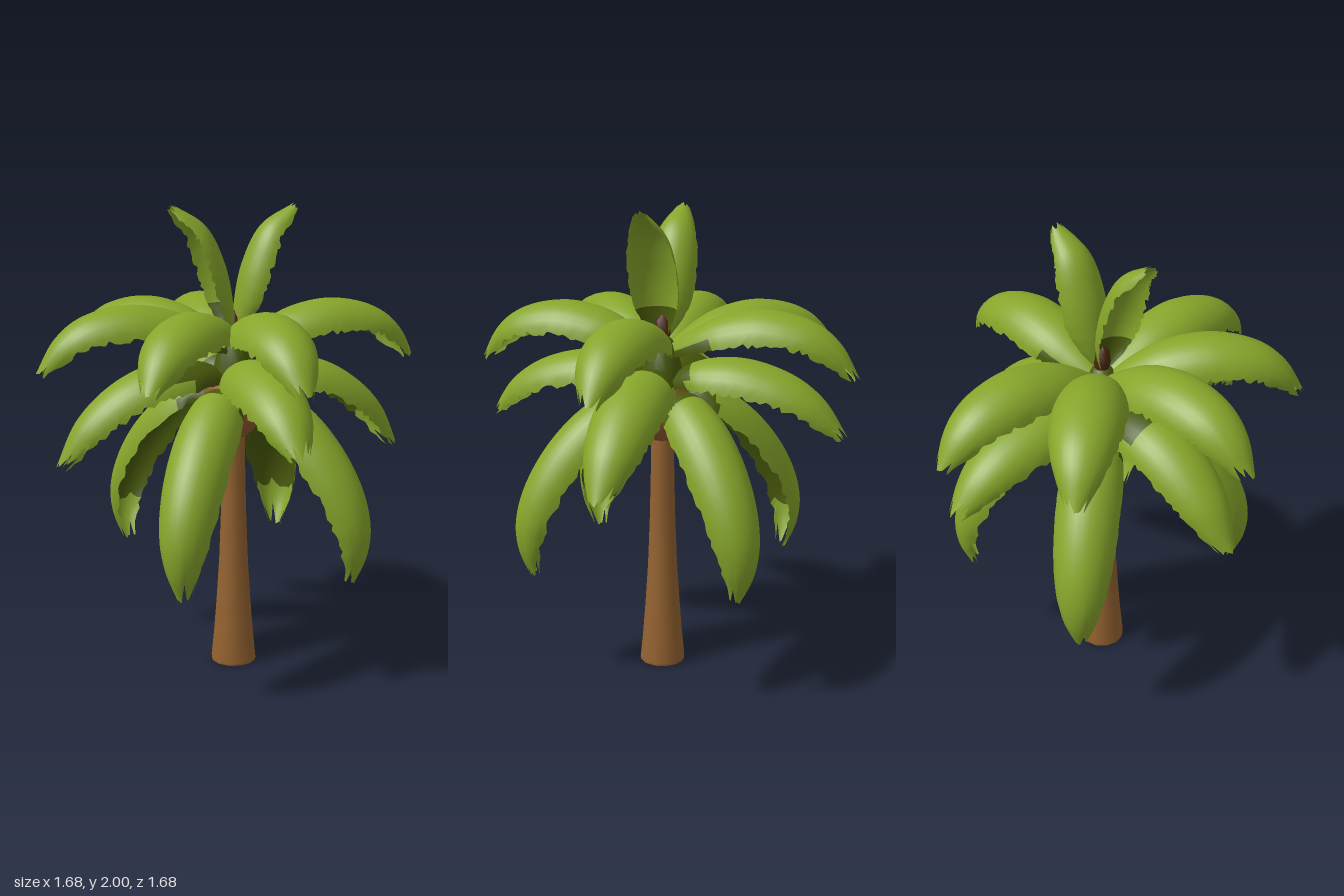
import * as THREE from 'three';

function material(name, color) {
  const m = new THREE.MeshStandardMaterial({ color });
  m.name = name;
  return m;
}
const leafGreen = material('leafGreen', 0x86a52a);
const darkOlive = material('darkOlive', 0x47580a);
const trunkBrown = material('trunkBrown', 0x946230);
const bulbBrown = material('bulbBrown', 0x945932);
const darkBrown = material('darkBrown', 0x4a240e);

// Small seeded random generator for the ragged leaf edges
function seeded(seed) {
  let s = seed;
  return () => {
    s = (s * 16807) % 2147483647;
    return s / 2147483647;
  };
}

// Half width along a leaf, as a share of the widest point
const WIDTHS = [0.24, 0.62, 0.86, 0.97, 1, 0.99, 0.95, 0.87, 0.75, 0.55, 0.22];
function widthAt(t) {
  const f = Math.min(t, 0.9999) * (WIDTHS.length - 1);
  const i = Math.floor(f);
  return THREE.MathUtils.lerp(WIDTHS[i], WIDTHS[i + 1], f - i);
}

// Arched leaf along +x with a green upper skin and a dark lower skin.
// rib: list of [radius, height]; rootDark, flankDark: radius up to which the top
// and its lower flanks are dark; underDark: dark share of the lower skin
function leafGeometry({ rib, width, depth, seed, rootDark, flankDark, underDark }) {
  const ROWS = 40, COLS = 14;
  const rand = seeded(seed);
  const curve = new THREE.CatmullRomCurve3(rib.map(([r, y]) => new THREE.Vector3(r, y, 0)));
  // Each strip of the leaf ends at its own length, giving a torn tip
  const ends = Array.from({ length: COLS + 1 }, (_, j) =>
    j === COLS / 2 ? 1 : 1 - 0.09 * rand() * (j % 2 ? 1 : 0.4));
  const tears = Array.from({ length: ROWS + 1 }, (_, i) =>
    [0, 1].map(() => 1 + (rand() - 0.6) * 0.13 * (0.4 + i / ROWS)));
  const pos = [], green = [], dark = [];
  for (const under of [false, true]) {
    const base = pos.length / 3;
    for (let i = 0; i <= ROWS; i++) {
      const s = i / ROWS;
      for (let j = 0; j <= COLS; j++) {
        const u = (j / COLS) * 2 - 1;
        const t = s * THREE.MathUtils.lerp(1, ends[j], s ** 4);
        const p = curve.getPointAt(t), d = curve.getTangentAt(t);
        const edge = j === 0 ? tears[i][0] : j === COLS ? tears[i][1] : 1;
        const a = u * edge * Math.PI * 0.48;
        const w = widthAt(t);
        const drop = depth * w * (1 - Math.cos(a)) * (under ? 0.97 : 1) + (under ? 0.004 : 0);
        pos.push(p.x + d.y * drop, p.y - d.x * drop, width * w * Math.sin(a) * (under ? 0.97 : 1));
        if (i < ROWS && j < COLS) {
          const k = base + i * (COLS + 1) + j, n = k + COLS + 1;
          const flank = Math.abs(u + 1 / COLS) > 0.7;
          const isDark = under ? s < underDark : p.x < (flank ? flankDark : rootDark);
          const list = isDark ? dark : green;
          if (under) list.push(k, n, k + 1, k + 1, n, n + 1);
          else list.push(k, k + 1, n, k + 1, n + 1, n);
        }
      }
    }
  }
  const g = new THREE.BufferGeometry();
  g.setAttribute('position', new THREE.Float32BufferAttribute(pos, 3));
  g.setIndex([...green, ...dark]);
  g.addGroup(0, green.length, 0);
  g.addGroup(green.length, dark.length, 1);
  g.computeVertexNormals();
  return g;
}

const middleSide = { width: 0.148, depth: 0.14, seed: 37, underDark: 0.82,
  rib: [[0, 1.27], [0.12, 1.34], [0.25, 1.355], [0.4, 1.33], [0.55, 1.25], [0.68, 1.12], [0.77, 0.935]] };

// Leaf tiers: rib path, size, dark areas and compass angles in degrees
const TIERS = [
  { name: 'uprightLeaf', width: 0.108, depth: 0.1, seed: 11, rootDark: 0, flankDark: 0, underDark: 0.18, angles: [0, 180],
    rib: [[0, 1.46], [0.008, 1.6], [0.045, 1.76], [0.125, 1.91], [0.27, 2]] },
  { name: 'upperLeaf', width: 0.148, depth: 0.14, seed: 23, rootDark: 0, flankDark: 0.2, underDark: 0.82,
    angles: [0, 90, 180, 270, 131, 229],
    rib: [[0, 1.4], [0.12, 1.49], [0.25, 1.56], [0.45, 1.595], [0.65, 1.55], [0.76, 1.465], [0.84, 1.33]] },
  { ...middleSide, name: 'middleLeftLeaf', rootDark: 0.21, flankDark: 0.17, angles: [0] },
  { ...middleSide, name: 'middleRightLeaf', rootDark: 0.3, flankDark: 0.2, angles: [180] },
  { name: 'middleFrontBackLeaf', width: 0.148, depth: 0.14, seed: 41, rootDark: 0.13, flankDark: 0.09, underDark: 0.82,
    angles: [90, 270],
    rib: [[0, 1.26], [0.12, 1.35], [0.25, 1.385], [0.4, 1.38], [0.58, 1.32], [0.7, 1.23], [0.8, 1.085]] },
  { name: 'lowerLeaf', width: 0.135, depth: 0.14, seed: 59, rootDark: 0.2, flankDark: 0.25, underDark: 0.85,
    angles: [51, 129, 231, 309],
    rib: [[0, 1.17], [0.17, 1.25], [0.34, 1.18], [0.5, 1.03], [0.61, 0.85], [0.65, 0.7], [0.64, 0.58], [0.59, 0.46]] },
];

function lathe(points, sides, mat, name) {
  const g = new THREE.LatheGeometry(points.map(([r, y]) => new THREE.Vector2(r, y)), sides);
  const mesh = new THREE.Mesh(g, mat);
  mesh.name = name;
  return mesh;
}

export function createModel() {
  const model = new THREE.Group();
  model.name = 'palmTree';

  // Flared trunk with a dark cut base
  model.add(lathe([[0.097, 0], [0.1, 0.012], [0.088, 0.13], [0.077, 0.27], [0.065, 0.45],
    [0.057, 0.65], [0.052, 0.85], [0.049, 1.08]], 12, trunkBrown, 'trunk'));
  model.add(lathe([[0, 0], [0.097, 0]], 12, darkBrown, 'trunkBase'));

  // Bulb the leaves grow from, with a leafy core and a dark bud above it
  model.add(lathe([[0, 1.01], [0.045, 1.015], [0.08, 1.04], [0.112, 1.085], [0.13, 1.14], [0.125, 1.2],
    [0.09, 1.26]], 16, bulbBrown, 'crownBulb'));
  model.add(lathe([[0.09, 1.25], [0.085, 1.32], [0.065, 1.4], [0.04, 1.45], [0, 1.46]], 12, darkOlive, 'crownCore'));
  model.add(lathe([[0.025, 1.43], [0.036, 1.48], [0.03, 1.53], [0, 1.56]], 10, darkBrown, 'crownBud'));

  // Leaves, one shared shape per tier turned about the trunk
  for (const tier of TIERS) {
    const geometry = leafGeometry(tier);
    tier.angles.forEach((angle, i) => {
      const leaf = new THREE.Mesh(geometry, [leafGreen, darkOlive]);
      leaf.name = `${tier.name}${i + 1}`;
      leaf.rotation.y = THREE.MathUtils.degToRad(angle);
      model.add(leaf);
    });
  }
  return model;
}
